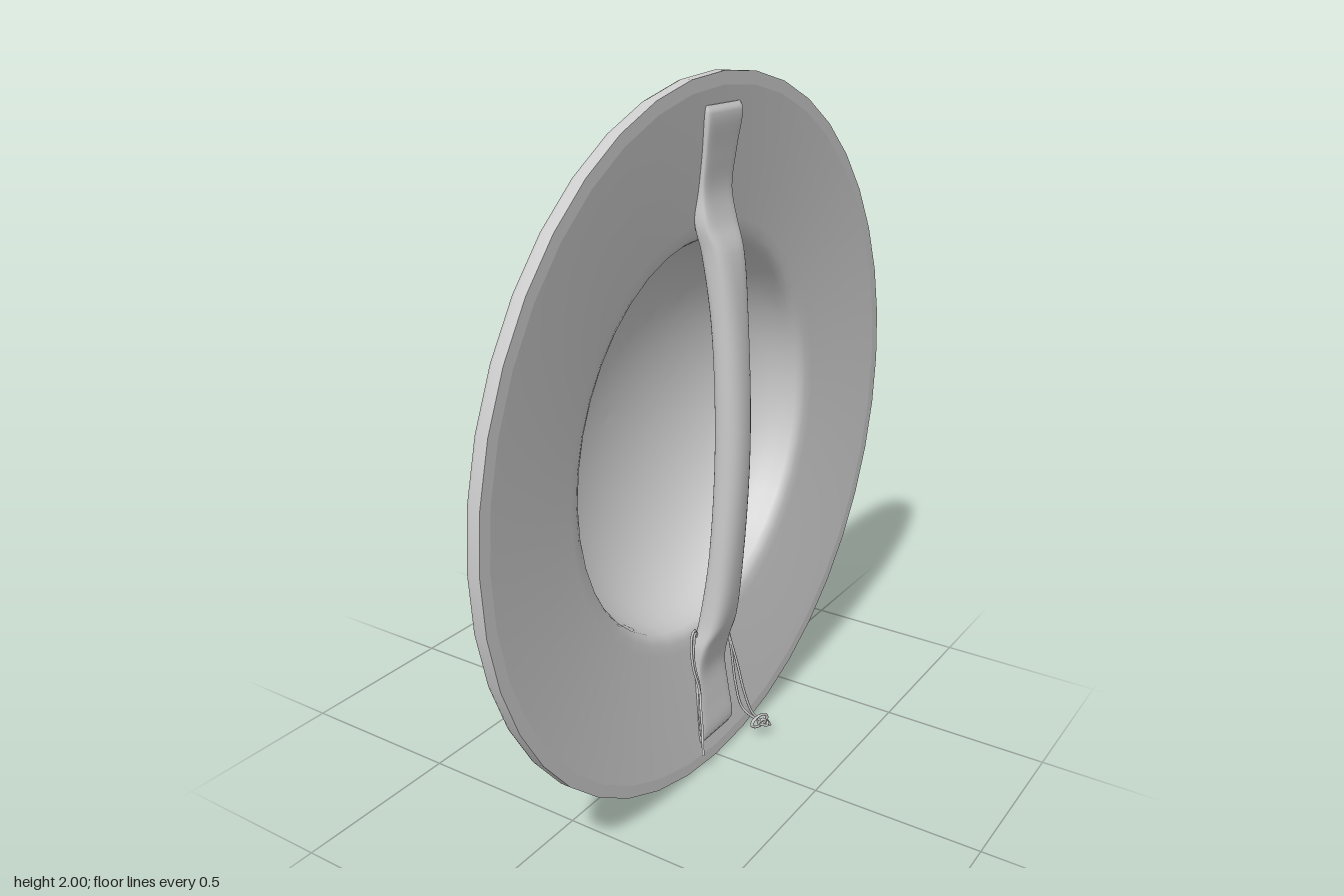
import * as THREE from 'three';

const material = new THREE.MeshStandardMaterial({ color: 0xcccccc, side: THREE.DoubleSide });

function add(group, name, geometry) {
  const mesh = new THREE.Mesh(geometry, material);
  mesh.name = name;
  group.add(mesh);
  return mesh;
}

// Turned part around the x axis; profile points are [radius, x]
function turned(profile) {
  const points = profile.map(([r, x]) => new THREE.Vector2(r, x));
  return new THREE.LatheGeometry(points, 40).rotateZ(-Math.PI / 2);
}

// Quarter ellipse bulging towards -x, from the apex to its widest radius
function domeProfile(centre, depth, radius, sweep) {
  const points = [];
  for (let i = 0; i <= 20; i++) {
    const a = (i / 20) * sweep;
    points.push([radius * Math.sin(a), centre - depth * Math.cos(a)]);
  }
  return points;
}

// Strap lofted through stations: [y, outer x, thickness, half width, squareness]
function strapGeometry(stations) {
  const path = new THREE.CatmullRomCurve3(stations.map(([y, x, t]) => new THREE.Vector3(x, y, t)));
  const size = new THREE.CatmullRomCurve3(stations.map(([y, , , w, p]) => new THREE.Vector3(w, y, p)));
  const geometry = new THREE.CylinderGeometry(1, 1, 1, 32, 70).rotateY(-Math.PI / 2);
  const position = geometry.attributes.position;
  const power = (v, p) => (Math.abs(v) < 1e-6 ? 0 : Math.sign(v) * Math.abs(v) ** p);
  for (let i = 0; i < position.count; i++) {
    const t = THREE.MathUtils.clamp(position.getY(i) + 0.5, 0, 1);
    const a = path.getPoint(t);
    const b = size.getPoint(t);
    const x = a.x - a.z / 2 + (power(position.getX(i), b.z) * a.z) / 2;
    position.setXYZ(i, x, a.y, power(position.getZ(i), b.z) * b.x);
  }
  geometry.computeVertexNormals();
  return geometry;
}

function cord(points, radius = 0.005) {
  const curve = new THREE.CatmullRomCurve3(points.map((p) => new THREE.Vector3(...p)));
  return new THREE.TubeGeometry(curve, 40, radius, 6);
}

export function createModel() {
  const model = new THREE.Group();

  // Shield body: outer dome, flared brim, raised rim and hollow inner face
  const body = new THREE.Group();
  body.name = 'shieldBody';
  body.position.y = 1;
  model.add(body);
  add(body, 'outerDome', turned(domeProfile(0.1, 0.35, 0.59, 1.51)));
  add(body, 'outerBrim', turned([[0.589, 0.079], [0.95, 0.13]]));
  add(body, 'rim', turned([[0.95, 0.13], [0.956, 0.119], [0.965, 0.116], [0.985, 0.117], [0.997, 0.123], [1, 0.131], [1, 0.162]]));
  add(body, 'rimBackEdge', turned([[1, 0.162], [0.965, 0.162]]));
  add(body, 'innerFace', turned([
    [0.965, 0.162], [0.8, 0.143], [0.62, 0.118], [0.59, 0.113], [0.573, 0.104], [0.563, 0.09],
    ...domeProfile(0.09, 0.315, 0.56, 1.5).reverse(),
  ]));

  // Hand strap: flat ends fixed to the brim, rounded grip across the hollow
  add(model, 'handStrap', strapGeometry([
    [0.08, 0.16, 0.02, 0.083, 0.3],
    [0.1, 0.17, 0.03, 0.085, 0.3],
    [0.2, 0.159, 0.03, 0.08, 0.35],
    [0.3, 0.15, 0.034, 0.074, 0.4],
    [0.38, 0.168, 0.055, 0.077, 0.5],
    [0.46, 0.201, 0.08, 0.065, 0.65],
    [0.66, 0.229, 0.085, 0.058, 0.85],
    [1, 0.247, 0.09, 0.054, 0.9],
    [1.34, 0.23, 0.085, 0.059, 0.85],
    [1.54, 0.202, 0.08, 0.069, 0.65],
    [1.62, 0.167, 0.055, 0.079, 0.5],
    [1.7, 0.15, 0.034, 0.073, 0.4],
    [1.8, 0.159, 0.03, 0.077, 0.35],
    [1.9, 0.17, 0.03, 0.085, 0.3],
    [1.92, 0.16, 0.02, 0.083, 0.3],
  ]));

  // Loose cords on both sides of the lower strap end
  const cords = new THREE.Group();
  cords.name = 'looseCords';
  model.add(cords);
  add(cords, 'leftCord', cord([
    [0.13, 0.41, 0.06], [0.135, 0.45, 0.085], [0.135, 0.43, 0.1], [0.145, 0.35, 0.108],
    [0.16, 0.26, 0.093], [0.175, 0.2, 0.108], [0.185, 0.14, 0.115], [0.198, 0.08, 0.132],
  ], 0.004));
  add(cords, 'leftInnerCord', cord([
    [0.13, 0.42, 0.06], [0.135, 0.44, 0.08], [0.14, 0.36, 0.095],
    [0.155, 0.26, 0.085], [0.165, 0.19, 0.1], [0.172, 0.12, 0.1],
  ], 0.004));
  add(cords, 'rightCord', cord([
    [0.13, 0.42, -0.06], [0.135, 0.44, -0.085], [0.14, 0.36, -0.1],
    [0.165, 0.26, -0.11], [0.19, 0.17, -0.112], [0.21, 0.1, -0.125], [0.225, 0.06, -0.15],
  ], 0.004));
  add(cords, 'rightInnerCord', cord([
    [0.13, 0.41, -0.06], [0.135, 0.42, -0.08], [0.145, 0.32, -0.103],
    [0.163, 0.19, -0.107], [0.185, 0.11, -0.113], [0.22, 0.06, -0.145],
  ], 0.004));

  // Knot with two short tails
  const knot = add(cords, 'knotLoop', new THREE.TorusGeometry(0.026, 0.005, 6, 20));
  knot.scale.set(1.25, 0.7, 1);
  knot.rotation.y = Math.PI / 2 - 0.25;
  knot.position.set(0.225, 0.058, -0.15);
  const knotCore = add(cords, 'knot', new THREE.TorusGeometry(0.011, 0.005, 6, 14));
  knotCore.rotation.set(0.6, 0.9, 0);
  knotCore.position.set(0.228, 0.05, -0.16);
  add(cords, 'longTail', cord([[0.225, 0.045, -0.15], [0.24, 0.035, -0.175], [0.225, 0.045, -0.19], [0.232, 0.015, -0.207]], 0.004));
  add(cords, 'shortTail', cord([[0.225, 0.05, -0.16], [0.215, 0.04, -0.18], [0.222, 0.025, -0.19]], 0.004));

  return model;
}
